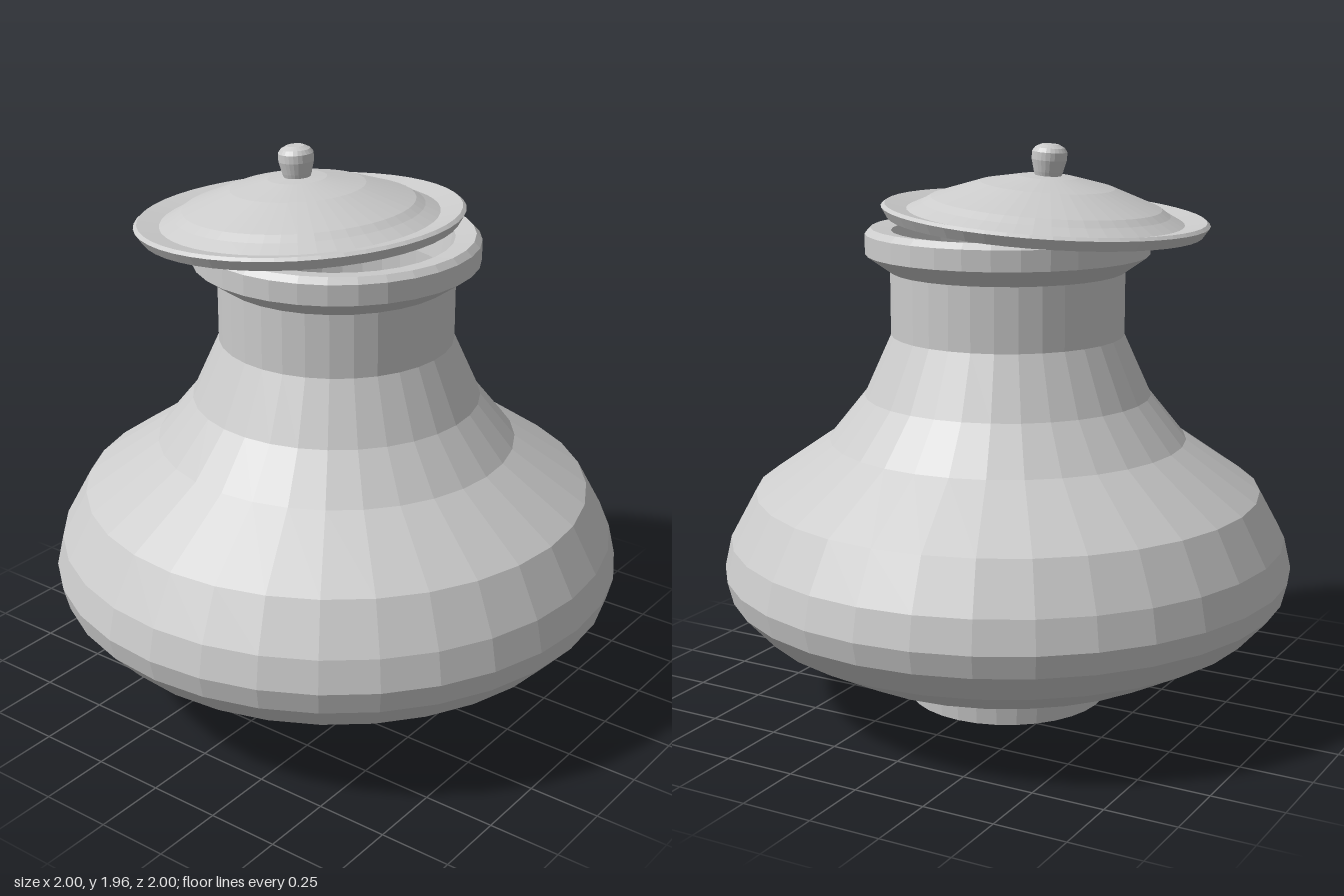
import * as THREE from 'three';

const material = new THREE.MeshStandardMaterial({ color: 0xcccccc, flatShading: true });

// Faceted solid of revolution from [radius, height] pairs, listed bottom centre to top
function turned(name, profile, segments) {
  const points = profile.map(([r, y]) => new THREE.Vector2(r, y));
  const mesh = new THREE.Mesh(new THREE.LatheGeometry(points, segments), material);
  mesh.name = name;
  return mesh;
}

export function createModel() {
  const model = new THREE.Group();
  model.name = 'liddedJar';

  // Foot
  model.add(turned('foot', [[0, 0], [0.355, 0], [0.37, 0.13]], 32));

  // Belly, shoulder and neck, with the hollow inside
  model.add(turned('body', [
    [0.37, 0.13], [0.665, 0.185], [0.885, 0.305], [0.98, 0.41], [1, 0.49],
    [0.975, 0.6], [0.885, 0.765], [0.625, 0.945], [0.5, 1.1], [0.405, 1.31],
    [0.405, 1.53],
  ], 32));
  model.add(turned('inside', [
    [0.4, 1.67], [0.375, 1.53], [0.375, 1.31], [0.47, 1.09], [0.59, 0.93],
    [0.85, 0.74], [0.95, 0.5], [0.84, 0.33], [0.6, 0.23], [0, 0.18],
  ], 32));

  // Flared collar around the mouth
  model.add(turned('rim', [
    [0.405, 1.53], [0.49, 1.59], [0.49, 1.66], [0.47, 1.68], [0.4, 1.67],
  ], 32));

  // Lid set off centre and tipped to one side
  const lid = new THREE.Group();
  lid.name = 'lid';
  lid.position.set(-0.125, 1.725, 0.04);
  lid.rotation.z = 0.07;
  lid.add(turned('lidPlate', [
    [0, -0.035], [0.54, -0.035], [0.562, 0], [0.55, 0.01], [0.475, -0.005],
    [0.425, 0.02], [0.395, 0.04], [0.23, 0.1], [0.1, 0.128], [0, 0.135],
  ], 48));
  lid.add(turned('knob', [
    [0.042, 0.12], [0.05, 0.145], [0.06, 0.185], [0.06, 0.212],
    [0.05, 0.226], [0.03, 0.236], [0, 0.236],
  ], 24));
  model.add(lid);

  return model;
}
